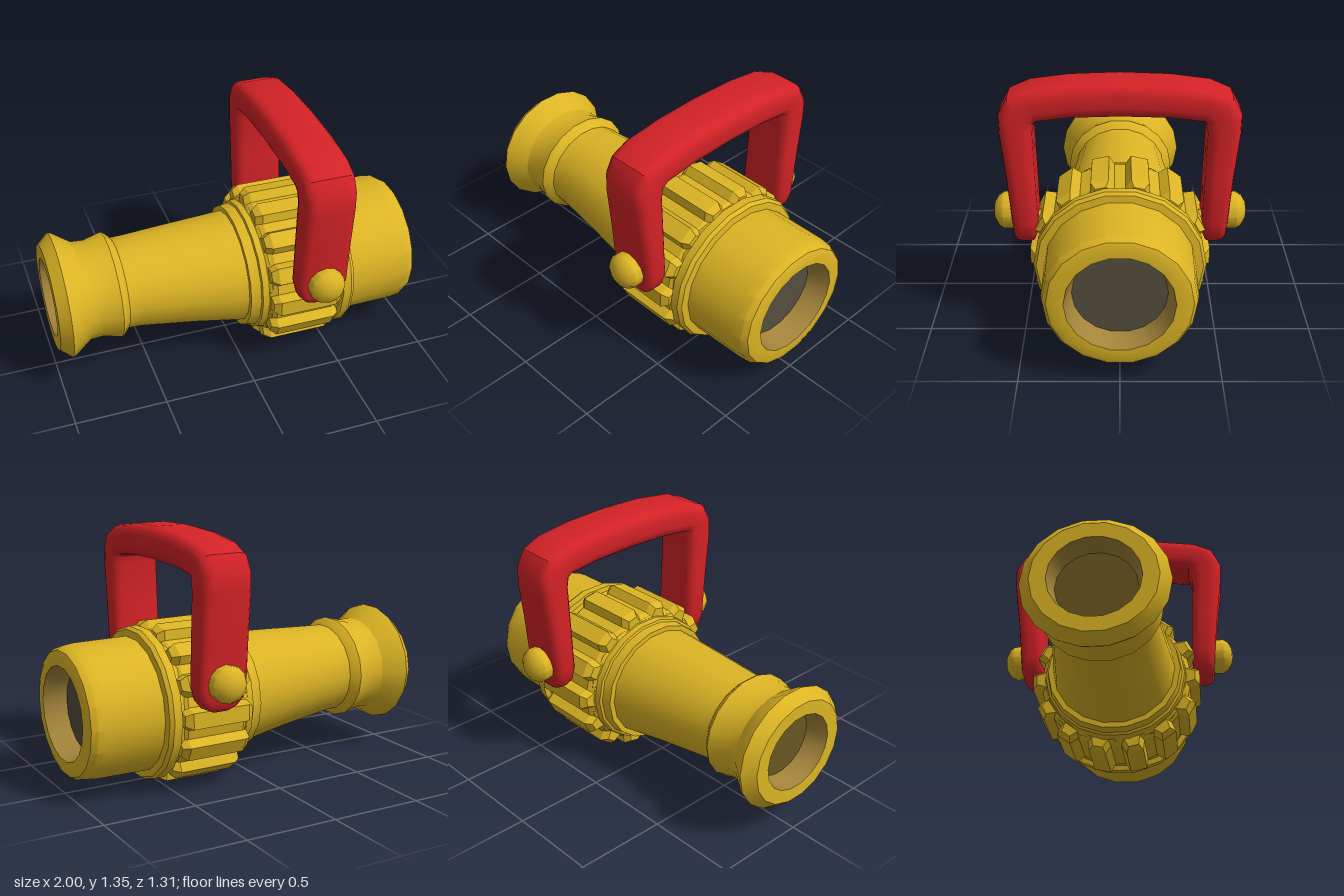
import * as THREE from 'three';
import { toCreasedNormals } from 'three/addons/utils/BufferGeometryUtils.js';

const material = (name, color) => {
  const m = new THREE.MeshStandardMaterial({ color });
  m.name = name;
  return m;
};

// The barrel is slightly oval and its axis drops a little towards the wide end.
const axisHeight = (x) => 0.475 - 0.045 * THREE.MathUtils.smoothstep(x, -0.6, 0.25);
function settle(geometry) {
  const p = geometry.attributes.position;
  for (let i = 0; i < p.count; i++) p.setY(i, p.getY(i) * 0.925 + axisHeight(p.getX(i)));
  return toCreasedNormals(geometry, 0.5);
}

// Turned part along x from [x, radius] pairs.
const turned = (pairs) => settle(
  new THREE.LatheGeometry(pairs.map(([x, r]) => new THREE.Vector2(r, x)), 18).rotateZ(-Math.PI / 2));

// Grip ring with raised ribs.
function ribbedRing() {
  const shape = new THREE.Shape();
  const ribs = 14, step = (Math.PI * 2) / ribs;
  for (let i = 0; i < ribs; i++) {
    const mid = Math.PI / 2 + (i + 0.5) * step;
    [[-0.155, 0.412], [-0.1, 0.464], [0.1, 0.464], [0.155, 0.412]].forEach(([a, r], k) => {
      const x = r * Math.cos(mid + a), y = r * Math.sin(mid + a);
      if (i + k === 0) shape.moveTo(x, y); else shape.lineTo(x, y);
    });
  }
  shape.closePath();
  const g = new THREE.ExtrudeGeometry(shape, {
    depth: 0.32, bevelThickness: 0.035, bevelSize: 0.025, bevelOffset: -0.025, bevelSegments: 1,
  });
  return settle(g.rotateY(Math.PI / 2).translate(0.165, 0, 0));
}

// Carrying handle: rounded-rectangle sections [z, y, thickness, width] swept over an arch.
function handleGeometry() {
  const half = [
    [0.49, 0.474, 0, 0], [0.49, 0.478, 0.05, 0.09], [0.488, 0.5, 0.095, 0.18],
    [0.486, 0.54, 0.12, 0.245], [0.486, 0.61, 0.13, 0.28], [0.502, 0.86, 0.145, 0.28],
    [0.52, 1.09, 0.165, 0.28], [0.515, 1.165, 0.185, 0.28], [0.495, 1.205, 0.19, 0.28],
    [0.435, 1.237, 0.17, 0.28], [0.25, 1.26, 0.172, 0.28], [0, 1.268, 0.175, 0.28],
  ];
  const path = [...half, ...half.slice(0, -1).reverse().map(([z, y, t, w]) => [-z, y, t, w])];
  const corner = [[1, 1], [-1, 1], [-1, -1], [1, -1]];
  const verts = [], index = [], n = 16;
  path.forEach(([z, y, t, w], i) => {
    const a = path[Math.max(i - 1, 0)], b = path[Math.min(i + 1, path.length - 1)];
    const len = Math.hypot(b[0] - a[0], b[1] - a[1]);
    const ny = -(b[0] - a[0]) / len, nz = (b[1] - a[1]) / len;
    const r = Math.min(t, w) * 0.32;
    for (let j = 0; j < n; j++) {
      const c = Math.floor(j / 4), angle = (c + (j % 4) / 3) * Math.PI / 2;
      const u = corner[c][0] * (t / 2 - r) + r * Math.cos(angle);
      const v = corner[c][1] * (w / 2 - r) + r * Math.sin(angle);
      verts.push(0.36 + v, y + ny * u, z + nz * u);
      if (i < path.length - 1) {
        const p = i * n + j, q = i * n + (j + 1) % n;
        index.push(p, q, p + n, q, q + n, p + n);
      }
    }
  });
  const g = new THREE.BufferGeometry();
  g.setAttribute('position', new THREE.Float32BufferAttribute(verts, 3));
  g.setIndex(index);
  return toCreasedNormals(g, 0.6);
}

export function createModel() {
  const yellow = material('yellow', 0xdcb424);
  const red = material('red', 0xd42226);
  const brass = material('dull brass', 0xa3843a);
  const grey = material('dark grey', 0x544e3f);
  const brown = material('dark brown', 0x6a5620);

  const model = new THREE.Group();
  model.name = 'hoseNozzle';
  const add = (name, geometry, mat, parent = model) => {
    const mesh = new THREE.Mesh(geometry, mat);
    mesh.name = name;
    parent.add(mesh);
    return mesh;
  };

  // Tapered barrel with flared tip, and the stepped collar behind it
  add('barrel', turned([
    [-1, 0.225], [-1, 0.305], [-0.94, 0.36], [-0.92, 0.352], [-0.83, 0.285], [-0.76, 0.28],
    [-0.66, 0.307], [-0.645, 0.298], [-0.615, 0.265], [-0.55, 0.267], [-0.25, 0.298],
    [0, 0.327], [0.03, 0.33], [0.03, 0.36], [0.085, 0.368], [0.09, 0.382], [0.125, 0.386],
    [0.14, 0.4], [0.5, 0.4],
  ]), yellow);
  add('gripRing', ribbedRing(), yellow);

  // Flange and wide inlet
  add('inlet', turned([
    [0.48, 0.4], [0.53, 0.41], [0.535, 0.44], [0.58, 0.44], [0.6, 0.425], [0.605, 0.385],
    [0.9, 0.382], [0.96, 0.374], [0.99, 0.355], [1, 0.325], [1, 0.27],
  ]), yellow);

  // Hollow ends
  add('inletBore', turned([[1, 0.27], [0.88, 0.235]]), brass);
  add('inletFloor', turned([[0.88, 0.235], [0.88, 0]]), grey);
  add('tipFloor', turned([[-0.88, 0], [-0.88, 0.2]]), brown);
  add('tipBore', turned([[-0.88, 0.2], [-1, 0.225]]), brass);

  add('handle', handleGeometry(), red);

  // Pivot shafts and domed bolts on both sides
  const boltProfile = [[0.095, 0.5], [0.097, 0.6], [0.08, 0.627], [0.045, 0.647], [0, 0.655]]
    .map(([r, z]) => new THREE.Vector2(r, z));
  for (const side of [1, -1]) {
    const pivot = new THREE.Group();
    pivot.name = side > 0 ? 'frontPivot' : 'backPivot';
    pivot.position.x = 0.36;
    if (side < 0) pivot.rotation.y = Math.PI;
    model.add(pivot);
    const bolt = new THREE.LatheGeometry(boltProfile, 12).rotateX(Math.PI / 2);
    add('bolt', toCreasedNormals(bolt, 0.7), yellow, pivot).position.y = 0.635;
    const shaft = new THREE.CylinderGeometry(0.05, 0.075, 0.16, 12).rotateX(Math.PI / 2);
    add('shaft', shaft, yellow, pivot).position.set(0, 0.575, 0.39);
  }
  return model;
}
